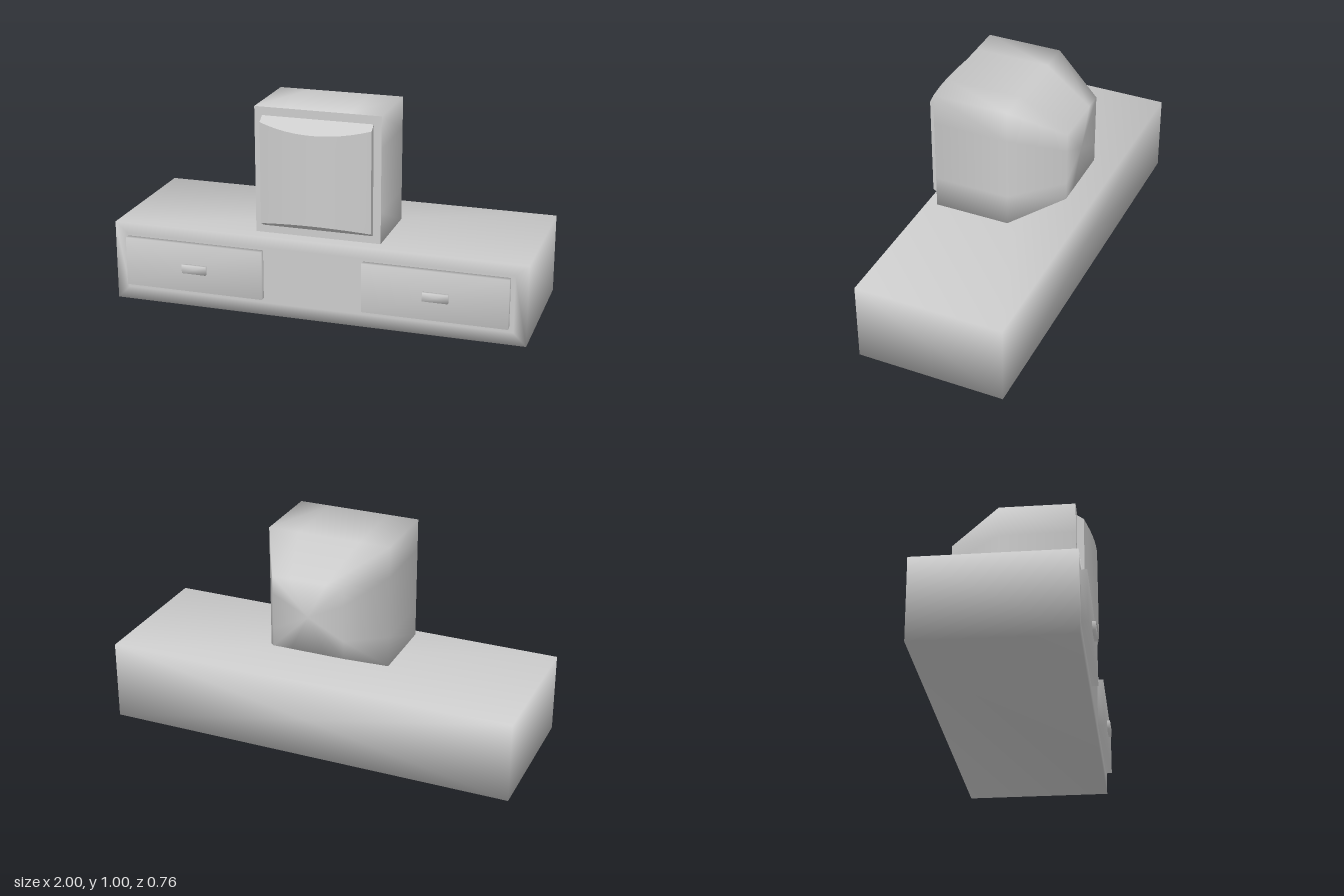
import * as THREE from 'three';

const material = new THREE.MeshStandardMaterial({ color: 0xcccccc });

// Closed smooth-shaded body through rectangles [z, x0, x1, y0, y1] from back to front,
// with n divisions along each rectangle edge
function loft(sections, n = 1) {
  const pos = [], index = [], ring = 4 * n;
  for (const [z, x0, x1, y0, y1] of sections) {
    const corners = [[x0, y0], [x1, y0], [x1, y1], [x0, y1]];
    corners.forEach((a, c) => {
      const b = corners[(c + 1) % 4];
      for (let i = 0; i < n; i++) {
        const t = i / n;
        pos.push(a[0] + (b[0] - a[0]) * t, a[1] + (b[1] - a[1]) * t, z);
      }
    });
  }
  const last = (sections.length - 1) * ring, back = sections.length * ring, front = back + 1;
  for (const [z, x0, x1, y0, y1] of [sections[0], sections[sections.length - 1]]) {
    pos.push((x0 + x1) / 2, (y0 + y1) / 2, z);
  }
  for (let i = 0; i < ring; i++) {
    const j = (i + 1) % ring;
    for (let s = 0; s < last; s += ring) {
      index.push(s + i, s + j, s + ring + j, s + i, s + ring + j, s + ring + i);
    }
    index.push(back, j, i, front, last + i, last + j);
  }
  const geometry = new THREE.BufferGeometry();
  geometry.setAttribute('position', new THREE.Float32BufferAttribute(pos, 3));
  geometry.setIndex(index);
  geometry.computeVertexNormals();
  return geometry;
}

// Convex glass: bowed from side to side, with sloping top and bottom edges
function screenGeometry() {
  const half = 0.265, geometry = new THREE.BoxGeometry(2, 2, 1, 12, 8, 1);
  const p = geometry.attributes.position;
  for (let i = 0; i < p.count; i++) {
    const u = p.getX(i), v = p.getY(i);
    const depth = p.getZ(i) > 0 ? 0.08 - 0.045 * u * u : 0;
    const inset = 0.05 * depth / 0.08;
    p.setXYZ(i, u * half, 0.695 + v * (half - inset) - inset * 0.1, 0.28 + depth);
  }
  geometry.computeVertexNormals();
  return geometry;
}

function add(parent, name, geometry) {
  const mesh = new THREE.Mesh(geometry, material);
  mesh.name = name;
  parent.add(mesh);
  return mesh;
}

export function createModel() {
  const model = new THREE.Group();
  model.name = 'televisionOnCabinet';

  // Low cabinet with a framed front
  add(model, 'cabinet', loft([
    [-0.38, -1, 1, 0, 0.387],
    [0.335, -1, 1, 0, 0.387],
    [0.335, -0.94, 0.94, 0.06, 0.335],
  ]));

  // Two drawers with handles
  for (const [side, x] of [['right', -0.585], ['left', 0.585]]) {
    const drawer = new THREE.Group();
    drawer.name = side + 'Drawer';
    drawer.position.x = x;
    add(drawer, 'drawerFront', loft([
      [0.33, -0.35, 0.335, 0.085, 0.323],
      [0.365, -0.35, 0.335, 0.085, 0.323],
    ]));
    add(drawer, 'drawerHandle', loft([
      [0.36, -0.06, 0.06, 0.18, 0.222],
      [0.38, -0.06, 0.06, 0.18, 0.222],
    ]));
    model.add(drawer);
  }

  // Television: tapered housing, flat bezel and bowed screen
  const television = new THREE.Group();
  television.name = 'television';
  add(television, 'housing', loft([
    [-0.325, -0.175, 0.175, 0.522, 0.873],
    [-0.085, -0.302, 0.302, 0.395, 1],
    [0.279, -0.302, 0.302, 0.395, 1],
  ], 4));
  const bezel = new THREE.PlaneGeometry(0.604, 0.605);
  bezel.translate(0, 0.6975, 0.28);
  add(television, 'bezel', bezel);
  add(television, 'screen', screenGeometry());
  model.add(television);

  return model;
}
